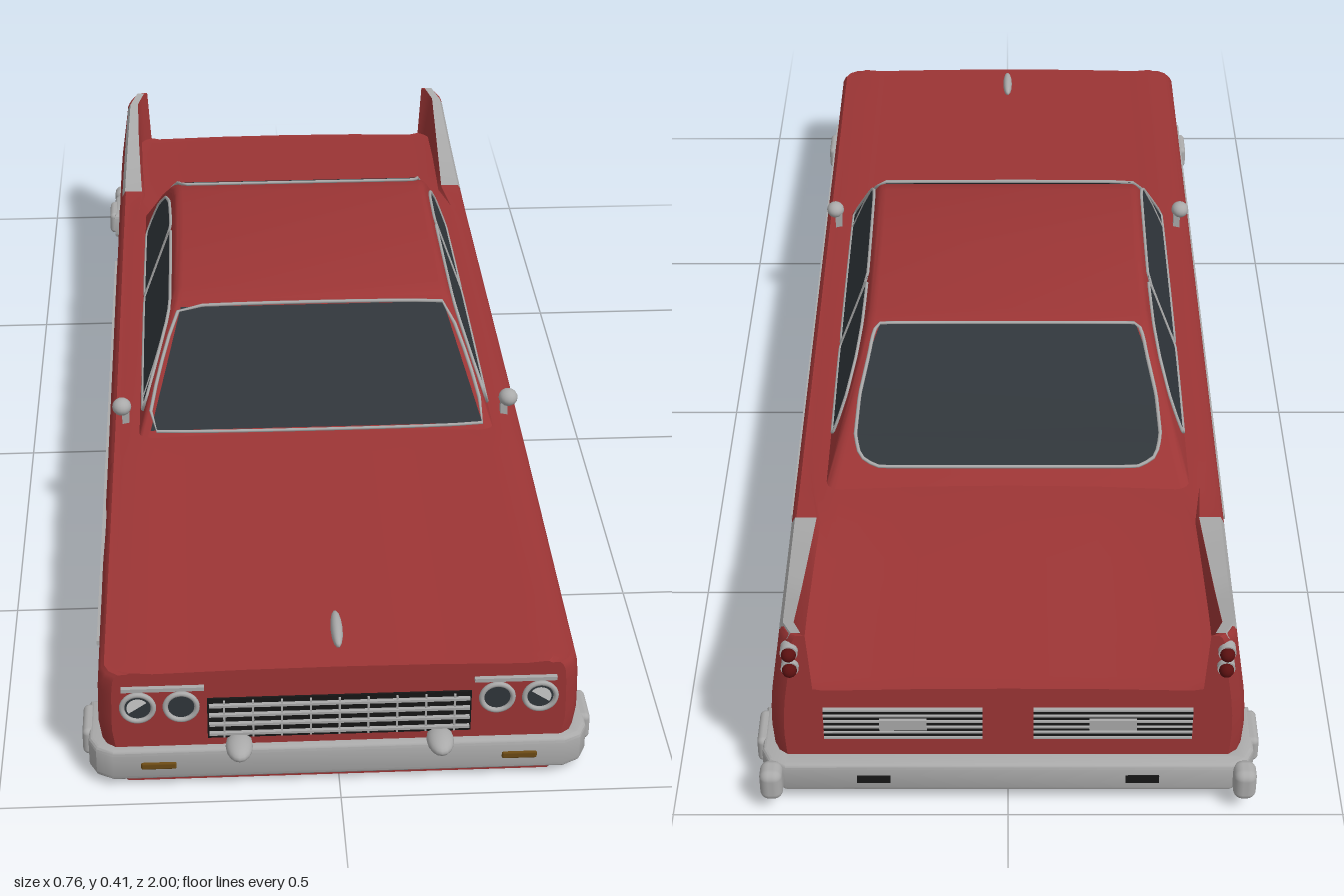
import * as THREE from 'three';
import { toCreasedNormals } from 'three/addons/utils/BufferGeometryUtils.js';
import { RoundedBoxGeometry } from 'three/addons/geometries/RoundedBoxGeometry.js';

const mat = (color) => new THREE.MeshStandardMaterial({ color, side: THREE.DoubleSide });
const red = mat(0x9c3535), chrome = mat(0xaaaaaa), glass = mat(0x30363b), black = mat(0x161616);
const white = mat(0xeeeeee), amber = mat(0x6b4a14), lampRed = mat(0x5a1010);

// Piecewise linear lookup in a table of [key, value], keys rising
function lookup(table, k) {
  if (k <= table[0][0]) return table[0][1];
  for (let i = 1; i < table.length; i++) {
    const [a, va] = table[i - 1], [b, vb] = table[i];
    if (k <= b) return va + (vb - va) * (k - a) / (b - a);
  }
  return table[table.length - 1][1];
}

// Surface through rows of [x, y, z] points
function grid(rows, crease = 0.6) {
  const n = rows[0].length, idx = [];
  for (let i = 0; i < rows.length - 1; i++) for (let j = 0; j < n - 1; j++) {
    const a = i * n + j, b = a + n;
    idx.push(a, a + 1, b, a + 1, b + 1, b);
  }
  const g = new THREE.BufferGeometry();
  g.setAttribute('position', new THREE.Float32BufferAttribute(rows.flat(2), 3));
  g.setIndex(idx);
  return toCreasedNormals(g, crease);
}

const shapeOf = (pts) => new THREE.Shape(pts.map(([x, y]) => new THREE.Vector2(x, y)));

// Round wire along points
function wire(pts, r = 0.003, closed = true) {
  const curve = new THREE.CatmullRomCurve3(pts.map((p) => new THREE.Vector3(...p)), closed, 'catmullrom', 0.08);
  return new THREE.TubeGeometry(curve, pts.length * 8, r, 6, closed);
}

// Body rules: deck and fin height along z, half width by height
const deck = (z) => lookup([[-0.94, 0.205], [-0.55, 0.235], [0.35, 0.226], [0.95, 0.195]], z);
const topY = (z) => Math.max(deck(z), lookup([[-0.95, 0.312], [-0.8, 0.268], [-0.65, 0.245], [-0.52, 0.235], [-0.45, 0]], z));
const finWide = (z) => lookup([[-0.94, 0.012], [-0.6, 0.032], [-0.45, 0.012]], z);
const inset = (z) => lookup([[0.925, 0], [0.94, 0.007], [0.95, 0.02]], Math.abs(z));
const halfW = (y, z) => lookup([[0, 0.325], [0.03, 0.342], [0.1, 0.352], [0.17, 0.35], [0.23, 0.341], [0.31, 0.33]], y) - inset(z);
// Cabin half width narrows evenly with height
const cabinW = (y) => 0.298 - (y - 0.22) * 0.066 / 0.18;

function section(z, yb) {
  const half = [], top = topY(z), d = deck(z);
  for (let j = 0; j <= 8; j++) {
    const y = yb + (top - 0.012 - yb) * j / 8;
    half.push([halfW(y, z), y, z]);
  }
  const w = halfW(top, z), xi = w - 0.006 - finWide(z);
  half.push([w - 0.002, top - 0.004, z], [w - 0.006, top, z], [xi, top, z]);
  half.push([Math.min(xi - 0.006, 0.31), d + 0.003, z], [0.27, d, z], [0.14, d + 0.003, z], [0, d + 0.004, z]);
  return [...half, ...half.slice(0, -1).reverse().map(([x, y, q]) => [-x, y, q])];
}

export function createModel() {
  const car = new THREE.Group();
  const add = (name, geo, material, x = 0, y = 0, z = 0, parent = car) => {
    const m = new THREE.Mesh(geo, material);
    m.name = name;
    m.position.set(x, y, z);
    parent.add(m);
    return m;
  };
  const box = (name, m, w, h, d, x, y, z, parent) => add(name, new THREE.BoxGeometry(w, h, d), m, x, y, z, parent);
  const pad = (name, m, w, h, d, x, y, z, parent) =>
    add(name, new RoundedBoxGeometry(w, h, d, 3, Math.min(w, h, d) * 0.4), m, x, y, z, parent);

  // Body shell, with round front arches and skirted rear arches
  const stations = [-0.95, -0.94, -0.925, -0.85, -0.8, -0.75].map((z) => [z, 0.01]);
  stations.push([-0.69, 0.01], [-0.68, 0.055], [-0.6, 0.055], [-0.52, 0.055], [-0.45, 0.055], [-0.42, 0.055], [-0.41, 0.01]);
  stations.push([0, 0.01], [0.35, 0.01], [0.4, 0.01]);
  for (let i = 0; i <= 24; i++) {
    const a = Math.PI * i / 24;
    stations.push([0.54 - 0.14 * Math.cos(a), 0.055 + 0.14 * Math.sin(a)]);
  }
  stations.push(...[0.68, 0.8, 0.925, 0.94, 0.95].map((z) => [z, 0.01]));
  add('bodyShell', grid(stations.map(([z, yb]) => section(z, yb))), red);
  add('nosePanel', new THREE.ShapeGeometry(shapeOf(section(0.95, 0.01))), red, 0, 0, 0.95);
  add('tailPanel', new THREE.ShapeGeometry(shapeOf(section(-0.95, 0.01).map(([x, y]) => [-x, y]))), red, 0, 0, -0.95).rotation.y = Math.PI;

  // Floor pans, notched for the wheels
  const pan = (name, m, half) => {
    const pts = [...half, ...half.slice().reverse().map(([x, z]) => [-x, z])];
    const g = new THREE.ExtrudeGeometry(shapeOf(pts), { depth: 0.02, bevelEnabled: false });
    add(name, g.rotateX(Math.PI / 2), m, 0, 0.02, 0);
  };
  pan('rearFloor', black, [[0.325, -0.93], [0.325, -0.69], [0.2, -0.69], [0.2, -0.41], [0.325, -0.41], [0.325, 0.4]]);
  pan('frontFloor', red, [[0.2, 0.4], [0.2, 0.68], [0.325, 0.68], [0.325, 0.93], [0.31, 0.945]]);

  // Cabin
  const rear = [[-0.25, 0.403], [-0.29, 0.396], [-0.34, 0.376], [-0.4, 0.336], [-0.45, 0.292], [-0.5, 0.25], [-0.56, 0.2]];
  const profile = [[0.366, 0.2], [0.165, 0.392], [0.13, 0.401], [-0.05, 0.405], ...rear];
  const cabin = new THREE.ExtrudeGeometry(shapeOf(profile),
    { depth: 1.88, bevelThickness: 0.06, bevelSize: 0.012, bevelOffset: -0.012, bevelSegments: 4 });
  cabin.translate(0, 0, -0.94).rotateY(-Math.PI / 2);
  const cp = cabin.attributes.position;
  for (let i = 0; i < cp.count; i++) cp.setX(i, cp.getX(i) * cabinW(cp.getY(i)));
  add('cabin', toCreasedNormals(cabin, 0.5), red);

  // Windshield and rear window
  const shield = [[0.333, 0.235, 0.276], [0.178, 0.384, 0.222]].map(([z, y, w]) => [[w, y + 0.003, z + 0.002], [-w, y + 0.003, z + 0.002]]);
  add('windshield', grid(shield), glass);
  add('windshieldTrim', wire([shield[0][0], shield[1][0], shield[1][1], shield[0][1]]), chrome);
  const back = [[-0.285, 0.397, 0.21], [-0.34, 0.376, 0.226], [-0.4, 0.336, 0.24], [-0.45, 0.292, 0.246], [-0.476, 0.27, 0.238], [-0.49, 0.2585, 0.205]]
    .map(([z, y, w]) => [[w, y + 0.003, z - 0.003], [-w, y + 0.003, z - 0.003]]);
  add('rearWindow', grid(back.slice().reverse(), 1), glass);
  add('rearWindowTrim', wire([...back.map((r) => r[0]), ...back.map((r) => r[1]).reverse()]), chrome);

  const frontPane = [[0.285, 0.25], [0.188, 0.368], [0.15, 0.382], [-0.128, 0.385], [-0.128, 0.247]];
  const rearPane = [[-0.14, 0.247], [-0.14, 0.385], [-0.26, 0.378], [-0.325, 0.358], [-0.375, 0.32], [-0.39, 0.285], [-0.39, 0.25]];
  const well = [[-0.14, 0.005]];
  for (let i = 0; i <= 16; i++) well.push([-0.14 * Math.cos(Math.PI * i / 16), 0.055 + 0.14 * Math.sin(Math.PI * i / 16)]);
  well.push([0.14, 0.005]);

  for (const s of [1, -1]) {
    // Side windows
    for (const [name, pane] of [['frontSideWindow', frontPane], ['rearSideWindow', rearPane]]) {
      const g = new THREE.ShapeGeometry(shapeOf(pane)).rotateY(-Math.PI / 2);
      const p = g.attributes.position;
      for (let i = 0; i < p.count; i++) p.setX(i, s * (cabinW(p.getY(i)) + 0.002));
      g.computeVertexNormals();
      add(name, g, glass);
      add(name + 'Trim', wire(pane.map(([z, y]) => [s * (cabinW(y) + 0.002), y, z])), chrome);
    }
    add('ventBar', wire([[0.245, 0.25], [0.225, 0.31], [0.195, 0.36]].map(([z, y]) => [s * (cabinW(y) + 0.002), y, z]), 0.002, false), chrome);

    // Wheel wells
    for (const [z, out] of [[0.54, 0.346], [-0.55, 0.33]]) {
      add('wheelWell', grid(well.map(([a, y]) => [[s * 0.2, y, a], [s * out, Math.min(y, z < 0 ? 0.18 : 1), a]])), black, 0, 0, z);
      add('wheelWellWall', new THREE.ShapeGeometry(shapeOf(well)).rotateY(-Math.PI / 2), black, s * 0.201, 0, z);
    }

    // Side trim, sill and fin caps
    box('sideTrim', chrome, 0.008, 0.008, 1.28, s * 0.352, 0.145, 0.16);
    box('sillTrim', chrome, 0.008, 0.012, 0.8, s * 0.339, 0.026, 0);
    const cap = [];
    for (let z = -0.945; z <= -0.6; z += 0.0345) {
      const y = topY(z) + 0.003, w = halfW(y, z);
      cap.push([[s * (w + 0.002), y - 0.012, z], [s * (w - 0.004), y, z], [s * (w - 0.006 - finWide(z)), y, z]]);
    }
    add('finCap', grid(cap), chrome);
    for (const y of [0.285, 0.255]) {
      const ring = add('tailLampRing', new THREE.CylinderGeometry(0.013, 0.013, 0.016, 20), chrome, s * 0.316, y, -0.95);
      ring.rotation.x = Math.PI / 2;
      add('tailLamp', new THREE.SphereGeometry(0.011, 16, 10), lampRed, s * 0.316, y, -0.96);
    }

    // Mirrors
    const head = add('mirror', new THREE.SphereGeometry(0.016, 16, 10), chrome, s * 0.324, 0.26, 0.29);
    head.scale.set(1, 0.9, 1.1);
    box('mirrorStem', chrome, 0.012, 0.035, 0.012, s * 0.318, 0.238, 0.285);

    // Headlights
    for (const x of [0.23, 0.293]) {
      add('headlightRing', new THREE.TorusGeometry(0.023, 0.004, 8, 32), chrome, s * x, 0.138, 0.953);
      add('headlightGlass', new THREE.CircleGeometry(0.022, 32), glass, s * x, 0.138, 0.952);
    }
    add('headlightLens', new THREE.CircleGeometry(0.016, 24, s > 0 ? -0.8 : 0.8, Math.PI).rotateZ(s > 0 ? 0.2 : -0.2), white, s * 0.293, 0.138, 0.954);
    box('headlightBrow', chrome, 0.12, 0.006, 0.014, s * 0.256, 0.171, 0.95);

    // Rear grilles with lamps
    box('rearGrille', black, 0.235, 0.055, 0.004, s * 0.155, 0.142, -0.951);
    for (let i = 0; i < 6; i++) box('rearGrilleSlat', chrome, 0.235, 0.003, 0.006, s * 0.155, 0.1145 + i * 0.011, -0.953);
    box('reverseLamp', chrome, 0.07, 0.02, 0.008, s * 0.155, 0.142, -0.954);
  }

  // Front grille
  box('grille', black, 0.385, 0.07, 0.004, 0, 0.115, 0.951);
  for (let i = 0; i < 4; i++) box('grilleBar', chrome, 0.38, 0.004, 0.008, 0, 0.09 + i * 0.0165, 0.955);
  for (let i = -4; i <= 4; i++) box('grilleUpright', chrome, 0.003, 0.064, 0.006, i * 0.042, 0.115, 0.954);

  // Hood ornament
  const ornament = add('hoodOrnament', new THREE.SphereGeometry(0.01, 14, 10), chrome, 0, 0.208, 0.87);
  ornament.scale.set(0.9, 1.1, 4.5);

  // Wraparound bumpers
  const outer = [[0.362, 0.84], [0.362, 0.925], [0.352, 0.945], [0.33, 0.957]];
  const inner = [[0.32, 0.93], [0.335, 0.92], [0.345, 0.84]];
  const flip = (pts) => pts.slice().reverse().map(([x, z]) => [-x, z]);
  const loop = [...outer, ...flip(outer), ...flip(inner).slice(0, 3), ...inner];
  const bumperGeo = toCreasedNormals(new THREE.ExtrudeGeometry(shapeOf(loop),
    { depth: 0.036, bevelThickness: 0.008, bevelSize: 0.006, bevelSegments: 3 }).rotateX(Math.PI / 2), 0.6);
  for (const front of [true, false]) {
    const g = new THREE.Group();
    g.name = front ? 'frontBumper' : 'rearBumper';
    car.add(g);
    g.position.set(0, front ? 0.04 : 0.05, front ? 0 : -0.012);
    if (!front) g.rotation.y = Math.PI;
    add('bumperBar', bumperGeo, chrome, 0, 0.018, 0, g);
    for (const s of [1, -1]) {
      pad('bumperEnd', chrome, 0.022, 0.045, 0.07, s * 0.367, 0.003, 0.875, g);
      if (front) {
        const guard = add('bumperGuard', new THREE.SphereGeometry(0.02, 16, 12), chrome, s * 0.147, 0.033, 0.965, g);
        guard.scale.set(1, 0.7, 1.7);
        pad('turnSignal', amber, 0.052, 0.012, 0.008, s * 0.265, 0, 0.962, g);
      } else {
        pad('bumperKnob', chrome, 0.034, 0.054, 0.04, s * 0.352, 0.002, 0.967, g);
        box('bumperSlot', black, 0.05, 0.014, 0.006, s * 0.2, 0, 0.962, g);
      }
    }
  }
  return car;
}
